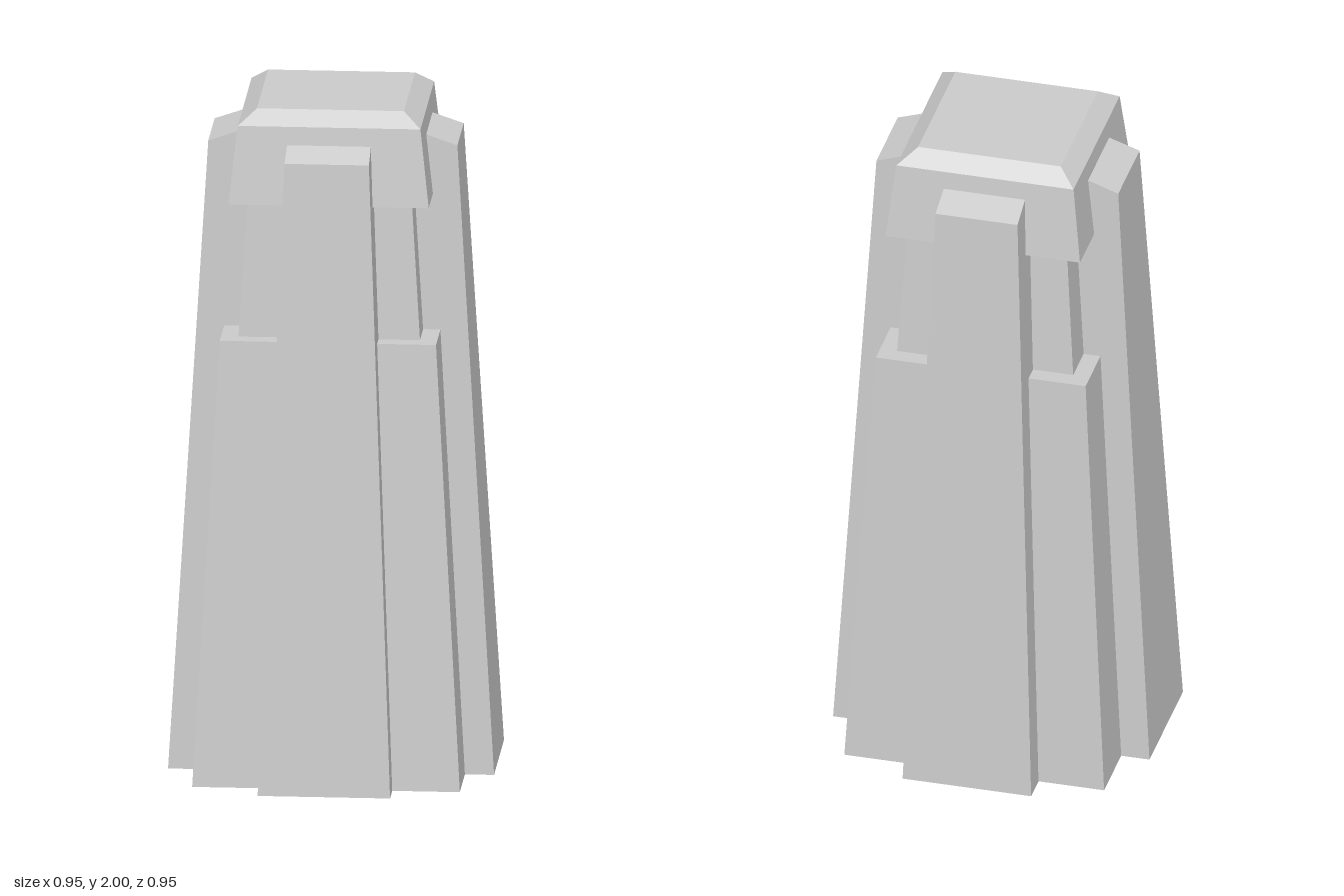
import * as THREE from 'three';

const material = new THREE.MeshStandardMaterial({ color: 0xcccccc, flatShading: true });

// Tapered block: each level is [y, half width in x, half depth in z], listed from bottom to top.
function taperedBlock(name, levels) {
  const n = levels.length - 1;
  const geometry = new THREE.BoxGeometry(2, n, 2, 1, n, 1).toNonIndexed();
  const pos = geometry.attributes.position;
  for (let i = 0; i < pos.count; i++) {
    const [y, hx, hz] = levels[Math.round(pos.getY(i) + n / 2)];
    pos.setXYZ(i, Math.sign(pos.getX(i)) * hx, y, Math.sign(pos.getZ(i)) * hz);
  }
  geometry.computeVertexNormals();
  const mesh = new THREE.Mesh(geometry, material);
  mesh.name = name;
  return mesh;
}

export function createModel() {
  const tower = new THREE.Group();
  tower.name = 'tower';

  // Square core, stepped in at the neck, with a chamfered cap
  tower.add(taperedBlock('lowerBody', [[0, 0.39, 0.39], [1.325, 0.315, 0.315]]));
  tower.add(taperedBlock('neck', [[1.3, 0.266, 0.266], [1.75, 0.238, 0.238]]));
  tower.add(taperedBlock('cap', [[1.73, 0.292, 0.292], [1.96, 0.266, 0.266], [2, 0.214, 0.214]]));

  // Two crossing slabs form the four buttresses; their sloped tops end inside the cap
  const slab = [[0, 0.475, 0.193], [1.875, 0.363, 0.123], [1.907, 0.27, 0.122]];
  tower.add(taperedBlock('sideButtresses', slab));
  tower.add(taperedBlock('frontBackButtresses', slab.map(([y, a, b]) => [y, b, a])));

  return tower;
}
